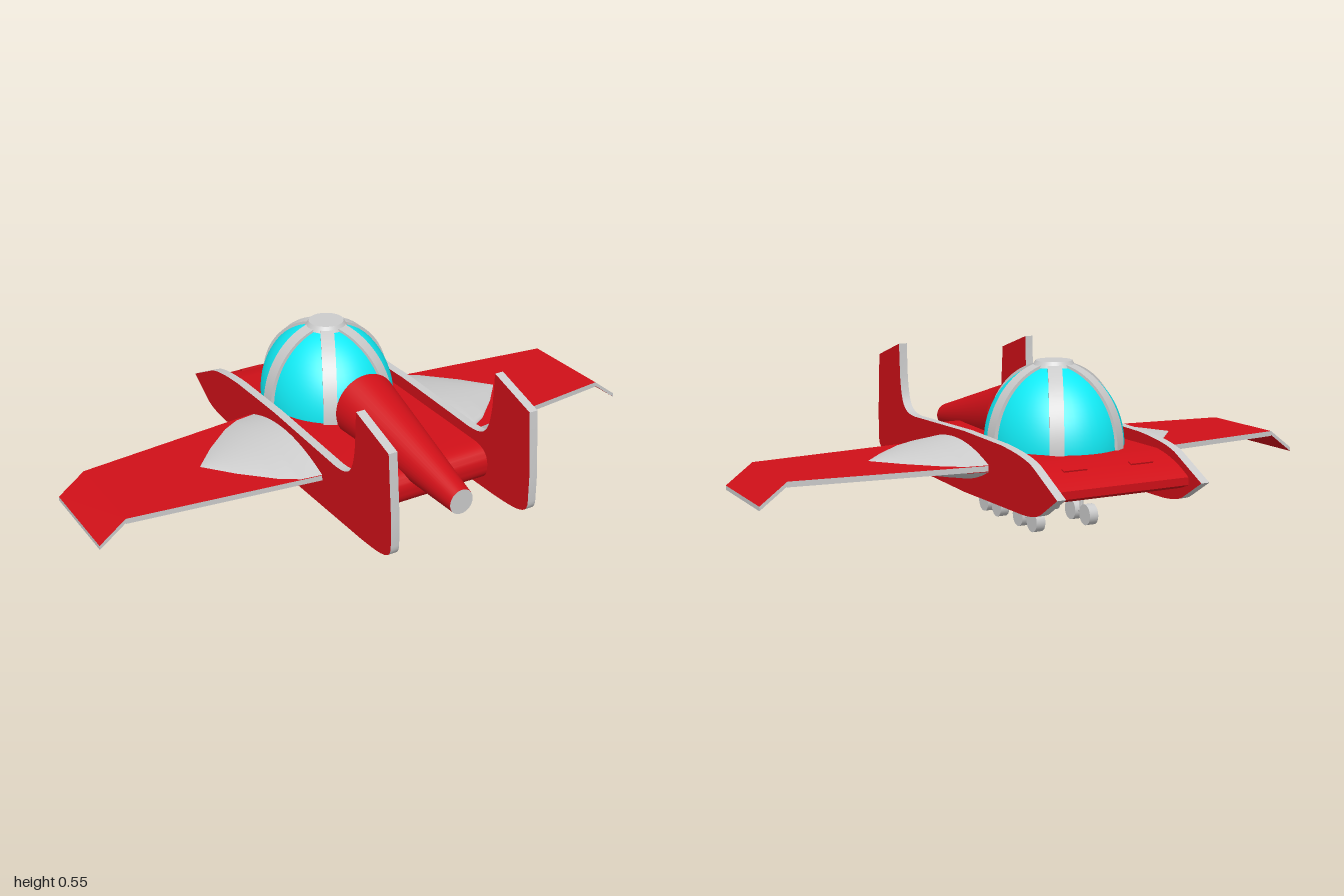
import * as THREE from 'three';
import { ParametricGeometry } from 'three/addons/geometries/ParametricGeometry.js';
import { toCreasedNormals } from 'three/addons/utils/BufferGeometryUtils.js';

const grey = new THREE.MeshStandardMaterial({ color: 0xcccccc });
const red = new THREE.MeshStandardMaterial({ color: 0xd01018 });
const cyan = new THREE.MeshStandardMaterial({ color: 0x10eaf4 });

function add(parent, name, geometry, material) {
  const mesh = new THREE.Mesh(geometry, material);
  mesh.name = name;
  parent.add(mesh);
  return mesh;
}

const toShape = (points) => new THREE.Shape(points.map(([a, b]) => new THREE.Vector2(a, b)));

// Extrudes a (z, y) outline across x, centred on x = 0
function sideExtrude(shape, width) {
  const g = new THREE.ExtrudeGeometry(shape, { depth: width, bevelEnabled: false, curveSegments: 10 });
  return g.translate(0, 0, -width / 2).rotateY(-Math.PI / 2);
}

// Extrudes an (x, z) plan downwards from height top
function planExtrude(points, thickness, top) {
  const g = new THREE.ExtrudeGeometry(toShape(points), { depth: thickness, bevelEnabled: false });
  return g.rotateX(Math.PI / 2).translate(0, top, 0);
}

// Thin rod between two points
function rod(a, b, radius) {
  const path = new THREE.LineCurve3(new THREE.Vector3(...a), new THREE.Vector3(...b));
  return new THREE.TubeGeometry(path, 1, radius, 10);
}

function sidePlateShape() {
  const s = new THREE.Shape();
  s.moveTo(0.655, 0.495);
  s.lineTo(0.472, 0.552);
  s.lineTo(0.467, 0.437);
  s.bezierCurveTo(0.455, 0.34, 0.44, 0.31, 0.345, 0.308);
  s.lineTo(-0.05, 0.319);
  s.lineTo(-0.31, 0.315);
  s.quadraticCurveTo(-0.48, 0.305, -0.533, 0.276);
  s.lineTo(-0.67, 0.208);
  s.lineTo(-0.573, 0.147);
  s.quadraticCurveTo(-0.54, 0.126, -0.454, 0.122);
  s.lineTo(-0.05, 0.115);
  s.lineTo(0.5, 0.125);
  s.bezierCurveTo(0.63, 0.13, 0.673, 0.14, 0.673, 0.186);
  s.lineTo(0.673, 0.276);
  return s;
}

// Wing pointing to +x, with drooped tip and root fairing
function makeWing() {
  const wing = new THREE.Group();
  wing.name = 'wing';
  const panel = [[0.25, -0.25], [0.91, -0.17], [0.91, 0.17], [0.25, 0.25]];
  add(wing, 'wingPanel', planExtrude(panel, 0.018, 0.234), [red, grey]);

  const tip = planExtrude([[0.91, -0.17], [1, -0.17], [1, 0.17], [0.91, 0.17]], 0.014, 0.234);
  const droop = new THREE.Matrix4().set(1, 0, 0, 0, -0.75, 1, 0, 0.75 * 0.91, 0, 0, 1, 0, 0, 0, 0, 1);
  add(wing, 'wingTip', tip.applyMatrix4(droop), [red, grey]);

  // Lens-shaped cross-section that shrinks to a point
  const stations = [[0.25, 0.25], [0.34, 0.238], [0.4, 0.2], [0.5, 0.1], [0.58, 0.001]];
  const fairing = new ParametricGeometry((u, v, target) => {
    const t = v * (stations.length - 1);
    const i = Math.min(Math.floor(t), stations.length - 2);
    const x = THREE.MathUtils.lerp(stations[i][0], stations[i + 1][0], t - i);
    const halfWidth = THREE.MathUtils.lerp(stations[i][1], stations[i + 1][1], t - i);
    const s = u < 0.5 ? 4 * u - 1 : 3 - 4 * u;
    const taper = (0.58 - x) / 0.33;
    const bulge = (1 - s * s) * taper;
    const y = u < 0.5 ? 0.236 + 0.056 * bulge : 0.214 - 0.062 * bulge;
    target.set(x, y, halfWidth * s);
  }, 40, 16);
  add(wing, 'wingFairing', fairing, grey);
  return wing;
}

function makeCanopy() {
  const canopy = new THREE.Group();
  canopy.name = 'canopy';
  add(canopy, 'canopyGlass', new THREE.SphereGeometry(1, 48, 20, 0, Math.PI * 2, 0, Math.PI / 2)
    .scale(0.223, 0.26, 0.255), cyan);

  // Curved bands from base to crown
  const band = new THREE.Shape();
  band.absarc(0, 0, 1.04, 0, Math.PI / 2, false);
  band.absarc(0, 0, 0.96, Math.PI / 2, 0, true);
  for (let i = 0; i < 6; i++) {
    const g = new THREE.ExtrudeGeometry(band, { depth: 0.2, bevelEnabled: false, curveSegments: 20 });
    g.translate(0, 0, -0.1).rotateY(i * Math.PI / 3).scale(0.225, 0.257, 0.253);
    add(canopy, 'canopyRib', toCreasedNormals(g, 0.5), grey);
  }
  add(canopy, 'canopyCap', new THREE.CylinderGeometry(0.06, 0.072, 0.02, 32).translate(0, 0.26, 0), grey);
  canopy.position.set(0, 0.28, -0.17);
  return canopy;
}

// Offset strut with a pair of wheels in line
function makeGear(x, z) {
  const gear = new THREE.Group();
  gear.name = 'landingGear';
  add(gear, 'upperStrut', rod([0, 0.17, 0.06], [0, 0.108, 0.06], 0.007), grey);
  add(gear, 'strutLink', rod([0, 0.11, 0.068], [0, 0.108, -0.008], 0.007), grey);
  add(gear, 'lowerStrut', rod([0, 0.115, 0], [0, 0.037, 0], 0.007), grey);
  add(gear, 'axleBar', rod([0, 0.037, -0.048], [0, 0.037, 0.048], 0.006), grey);
  for (const side of [-1, 1]) {
    const wheel = new THREE.CylinderGeometry(0.035, 0.035, 0.032, 28).rotateZ(Math.PI / 2);
    add(gear, 'wheel', wheel, grey).position.set(0, 0.035, side * 0.048);
  }
  gear.position.set(x, 0, z);
  return gear;
}

export function createModel() {
  const model = new THREE.Group();
  model.name = 'spacecraft';

  // Central hull, rounded ahead and tapered behind
  const hull = new THREE.Shape();
  hull.moveTo(0.38, 0.272);
  hull.bezierCurveTo(0.43, 0.27, 0.455, 0.25, 0.455, 0.21);
  hull.quadraticCurveTo(0.455, 0.16, 0.41, 0.157);
  hull.lineTo(-0.46, 0.157);
  hull.quadraticCurveTo(-0.54, 0.16, -0.6, 0.19);
  hull.lineTo(-0.6, 0.215);
  hull.quadraticCurveTo(-0.52, 0.265, -0.42, 0.278);
  add(model, 'hull', toCreasedNormals(sideExtrude(hull, 0.482), 0.6), red);

  for (const side of [-1, 1]) {
    // Side plates with upright fins
    const plate = toCreasedNormals(sideExtrude(sidePlateShape(), 0.03), 0.5);
    add(model, 'sidePlate', plate, [red, grey]).position.x = side * 0.255;

    // Vents on the sloping tail
    const vent = add(model, 'vent', new THREE.BoxGeometry(0.082, 0.016, 0.018), red);
    vent.position.set(side * 0.12, 0.254, -0.51);
    vent.rotation.x = -0.3;

    const wing = makeWing();
    wing.rotation.y = side > 0 ? 0 : Math.PI;
    wing.position.z = 0.018;
    model.add(wing);

    for (const z of [0.067, -0.183]) model.add(makeGear(side * 0.1, z));
  }

  // Tapered nose barrel, leaning down towards the front
  const barrel = new THREE.CylinderGeometry(0.042, 0.115, 0.56, 40).rotateX(Math.PI / 2).translate(0, 0, 0.37);
  const k = -0.085 / 0.56;
  barrel.applyMatrix4(new THREE.Matrix4().set(1, 0, 0, 0, 0, 1, k, 0.335 - 0.09 * k, 0, 0, 1, 0, 0, 0, 0, 1));
  add(model, 'noseBarrel', barrel, [red, grey, red]);

  model.add(makeCanopy());
  return model;
}
